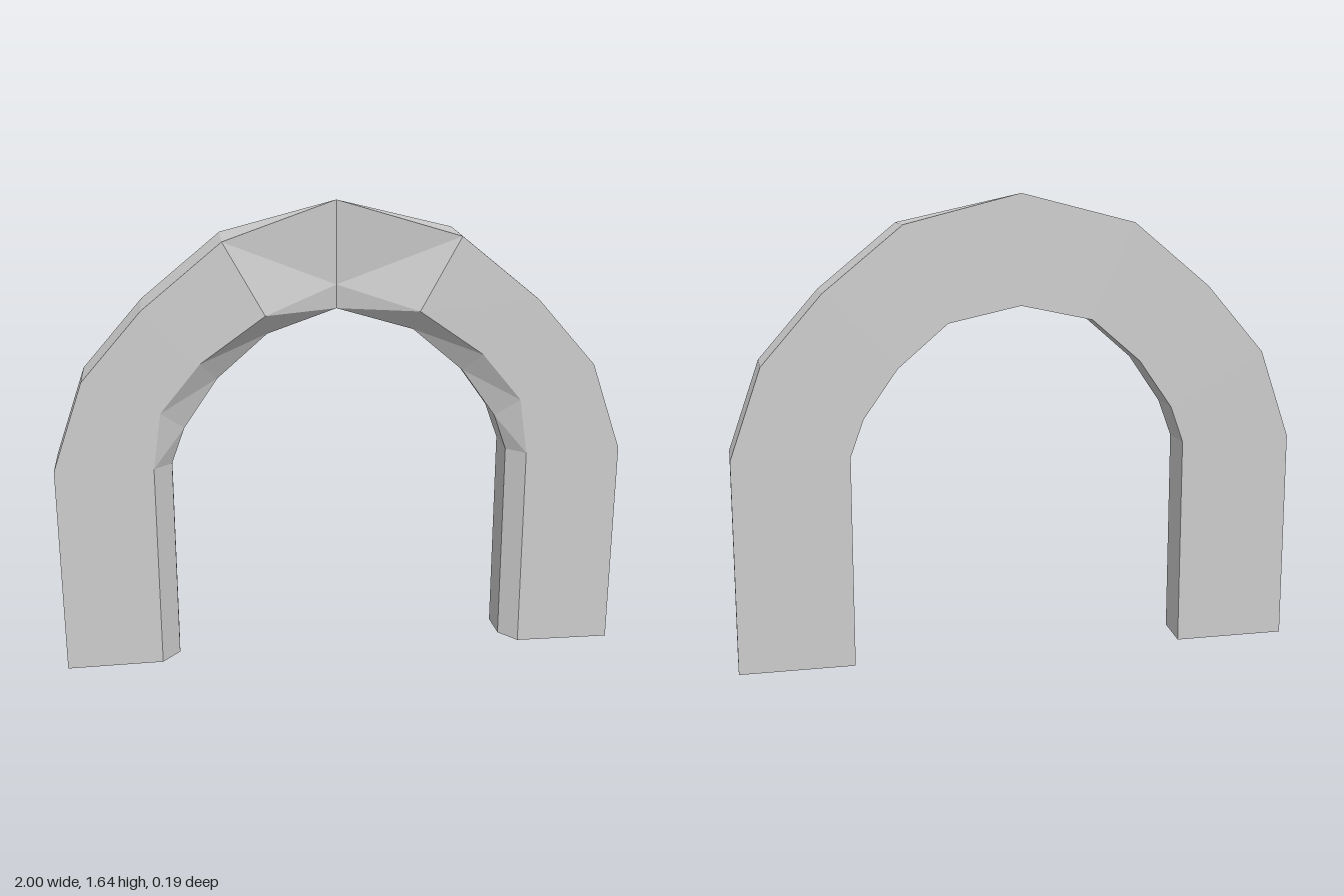
import * as THREE from 'three';

const D = 0.095; // half depth

// Stations from the foot up to the crown:
// outer edge x, y | front inner edge x, y | inner edge x, y | depth of the inner bevel | front depth
const stations = [
  [1, 0, 0.66, 0.004, 0.597, 0.012, 0.04, D],
  [1, 0.755, 0.66, 0.75, 0.597, 0.75, 0.04, D],
  [0.89, 1.07, 0.63, 0.95, 0.55, 0.88, 0.045, D],
  [0.68, 1.31, 0.49, 1.12, 0.43, 1.05, 0.03, D],
  [0.405, 1.535, 0.265, 1.28, 0.255, 1.2, 0.02, D],
  [0, 1.637, 0, 1.34, 0, 1.255, -D, -D], // the front folds back to the rear plane
];

// Five-sided section: outer back, outer front, front inner, bevel, inner back
function section([ox, oy, fx, fy, ix, iy, bevelZ, frontZ], index) {
  return [
    [ox, oy, -D],
    [ox, oy, frontZ],
    [fx, fy, frontZ],
    [ix, iy, bevelZ],
    [ix, index === 0 ? 0 : iy, -D],
  ].map((p) => new THREE.Vector3(...p));
}

function archGeometry() {
  const rings = stations.map(section);
  const positions = [];

  // Adds a triangle and its mirror image, leaving out collapsed ones
  const addTriangle = (a, b, c) => {
    if (new THREE.Triangle(a, b, c).getArea() < 1e-6) return;
    for (const p of [a, b, c]) positions.push(p.x, p.y, p.z);
    for (const p of [a, c, b]) positions.push(-p.x, p.y, p.z);
  };

  // Sides
  for (let i = 0; i < rings.length - 1; i++) {
    for (let j = 0; j < 5; j++) {
      const k = (j + 1) % 5;
      const a = rings[i][j], b = rings[i + 1][j], c = rings[i + 1][k], d = rings[i][k];
      addTriangle(a, b, c);
      addTriangle(a, c, d);
    }
  }

  // Foot
  const foot = rings[0];
  for (let j = 1; j < 4; j++) addTriangle(foot[0], foot[j], foot[j + 1]);

  const geometry = new THREE.BufferGeometry();
  geometry.setAttribute('position', new THREE.Float32BufferAttribute(positions, 3));
  geometry.computeVertexNormals();
  return geometry;
}

export function createModel() {
  const group = new THREE.Group();
  group.name = 'archway';
  const material = new THREE.MeshStandardMaterial({ color: 0xcccccc, flatShading: true });
  const arch = new THREE.Mesh(archGeometry(), material);
  arch.name = 'arch';
  group.add(arch);
  return group;
}
